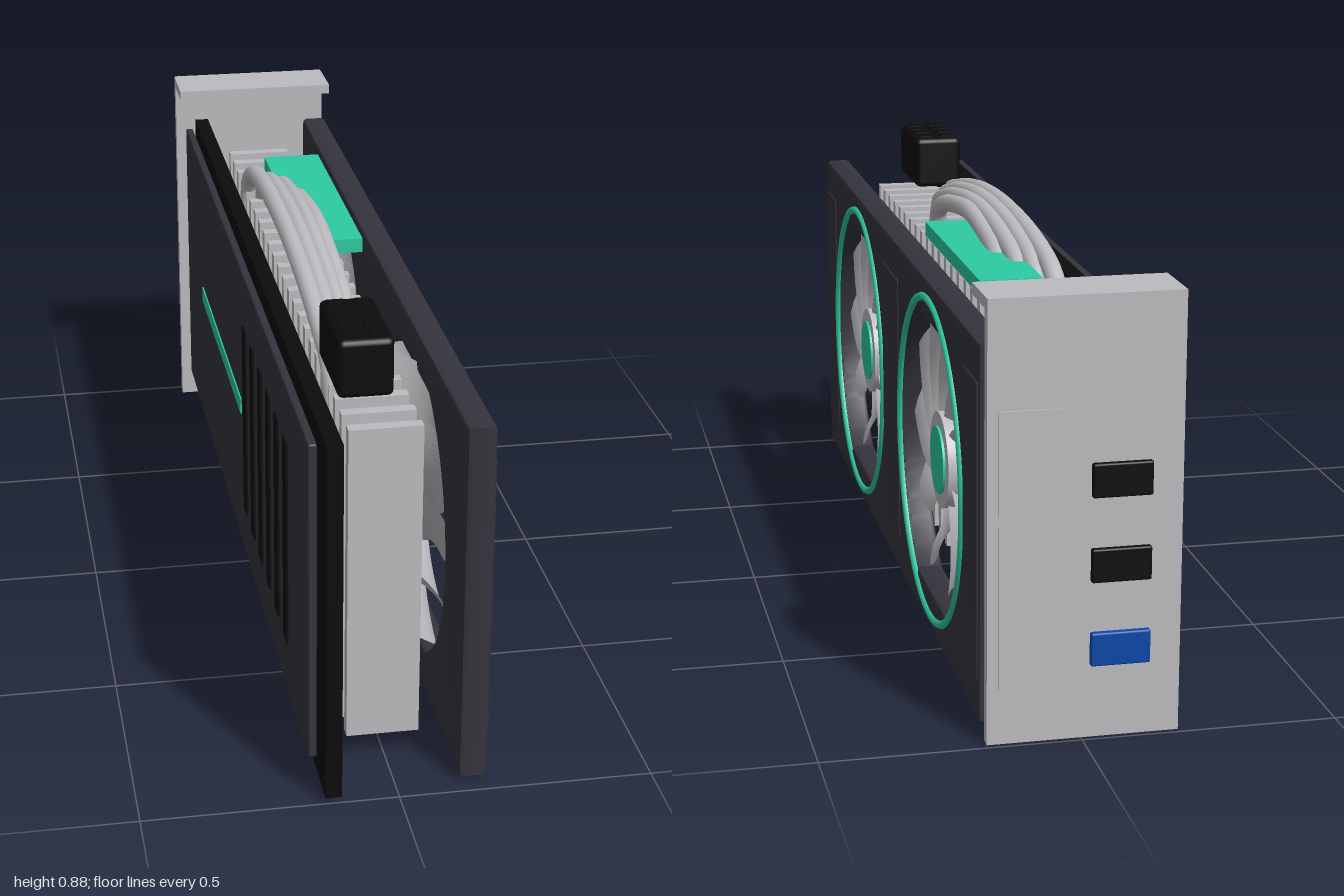
import * as THREE from 'three';
import { toCreasedNormals } from 'three/addons/utils/BufferGeometryUtils.js';
import { RoundedBoxGeometry } from 'three/addons/geometries/RoundedBoxGeometry.js';

const mat = (name, color, side = THREE.FrontSide) => {
  const m = new THREE.MeshStandardMaterial({ color, side });
  m.name = name;
  return m;
};

export function createModel() {
  const root = new THREE.Group();
  root.name = 'graphicsCard';
  const metal = mat('lightMetal', 0xbcbcc0, THREE.DoubleSide);
  const dark = mat('darkShroud', 0x35343d);
  const black = mat('black', 0x0c0c0d);
  const teal = mat('teal', 0x2dcaa3);
  const blue = mat('blue', 0x0a47a8);

  const add = (name, geo, material, parent = root) => {
    const m = new THREE.Mesh(geo, material);
    m.name = name;
    parent.add(m);
    return m;
  };
  // box given by its extents on each axis
  const box = (name, material, [x0, x1], [y0, y1], [z0, z1], round = 0) => {
    const s = [x1 - x0, y1 - y0, z1 - z0];
    const geo = round ? new RoundedBoxGeometry(...s, 2, round) : new THREE.BoxGeometry(...s);
    const m = add(name, geo, material);
    m.position.set((x0 + x1) / 2, (y0 + y1) / 2, (z0 + z1) / 2);
    return m;
  };

  const fanY = 0.383;
  const fanZ = [0.473, -0.42];

  // Shroud: bevelled slab with two openings, flattened at top and bottom
  const outline = new THREE.Shape();
  outline.moveTo(-0.968, 0.012);
  outline.lineTo(0.909, 0.012);
  outline.lineTo(0.909, 0.755);
  outline.lineTo(-0.968, 0.755);
  outline.closePath();
  const cut = Math.asin(0.287 / 0.325);
  for (const z of fanZ) {
    const hole = new THREE.Path();
    hole.absarc(-z, fanY, 0.325, -cut, cut, false);
    hole.absarc(-z, fanY, 0.325, Math.PI - cut, Math.PI + cut, false);
    hole.closePath();
    outline.holes.push(hole);
  }
  const bevel = 0.01;
  const shroud = new THREE.ExtrudeGeometry(outline, {
    depth: 0.057 - 2 * bevel, bevelEnabled: true, bevelSize: bevel, bevelThickness: bevel,
    bevelOffset: -bevel, bevelSegments: 2, curveSegments: 28,
  });
  shroud.translate(0, 0, 0.123 + bevel);
  shroud.rotateY(Math.PI / 2);
  add('shroud', toCreasedNormals(shroud, 0.5), dark);

  // Shallow trim panels on the shroud face
  for (const z of [[0.825, 0.955], [-0.065, 0.125], [-0.9, -0.77]]) {
    box('shroudPanel', dark, [0.176, 0.183], [0.092, 0.68], z, 0.003);
  }

  // Fan blade: swept, pitched sheet; x grows counter-clockwise as seen from +x
  const bladeGeometry = () => {
    const nr = 8, nu = 5;
    const geo = new THREE.PlaneGeometry(1, 1, nu, nr);
    const p = geo.attributes.position;
    for (let i = 0; i < p.count; i++) {
      const u = p.getX(i), t = p.getY(i) + 0.5;
      const r = 0.085 + 0.229 * t;
      const a = -0.55 * Math.pow(t, 1.3) + u * (0.5 - 0.06 * t);
      const x = 0.118 + u * 0.07 + 0.012 * (1 - 4 * u * u);
      p.setXYZ(i, x, r * Math.sin(a), -r * Math.cos(a));
    }
    geo.computeVertexNormals();
    return geo;
  };
  const blade = bladeGeometry();
  const disc = (r, depth) => new THREE.CylinderGeometry(r, r, depth, 40).rotateZ(-Math.PI / 2);

  for (const z of fanZ) {
    const fan = new THREE.Group();
    fan.name = 'fan';
    fan.position.set(0, fanY, z);
    root.add(fan);
    add('fanHub', disc(0.1, 0.075), metal, fan).position.x = 0.1225;
    add('fanCap', disc(0.07, 0.006), teal, fan).position.x = 0.162;
    for (let i = 0; i < 11; i++) {
      add('fanBlade', blade, metal, fan).rotation.x = (i * Math.PI * 2) / 11;
    }
    const ring = new THREE.TorusGeometry(0.337, 0.009, 8, 72).rotateY(Math.PI / 2);
    add('fanRing', ring, teal, fan).position.x = 0.179;
  }

  // Cooling fins
  for (let i = 0; i < 24; i++) {
    const z = -0.796 + i * 0.07105;
    box('coolingFin', metal, [-0.077, 0.067], [0.052, 0.713], [z - 0.013, z + 0.013]);
  }

  // Heat pipes arching over the fins: x, front z, back z, peak height
  for (const [x, zf, zb, top] of [
    [-0.068, 0.62, -0.52, 0.822], [-0.042, 0.56, -0.46, 0.82],
    [-0.016, 0.49, -0.42, 0.816], [0.007, 0.38, -0.32, 0.81],
  ]) {
    const at = (f, y) => new THREE.Vector3(x, y, zf + (zb - zf) * f);
    const path = new THREE.CatmullRomCurve3([
      at(0, 0.66), at(0.015, 0.735), at(0.1, 0.765), at(0.3, top - 0.017), at(0.55, top),
      at(0.8, top - 0.015), at(0.95, 0.77), at(1, 0.72), at(1, 0.65),
    ]);
    add('heatPipe', new THREE.TubeGeometry(path, 48, 0.02, 12), metal);
  }

  // Teal top plate
  box('topPlate', teal, [-0.028, 0.1], [0.753, 0.784], [-0.54, 0.04]);

  // Power connector with sockets on top
  box('powerConnector', black, [-0.088, 0.02], [0.753, 0.87], [0.58, 0.8], 0.012);
  for (const x of [-0.06, -0.008]) {
    for (let i = 0; i < 4; i++) {
      const z = 0.615 + i * 0.05;
      box('powerSocket', black, [x - 0.016, x + 0.016], [0.865, 0.875], [z - 0.016, z + 0.016]);
    }
  }

  // Circuit board and its edge contacts
  box('circuitBoard', black, [-0.144, -0.112], [0.012, 0.755], [-0.947, 1]);
  for (const z of [[-0.62, 0.69], [-0.86, -0.68]]) {
    box('edgeContacts', metal, [-0.146, -0.11], [0.02, 0.092], z);
  }

  // Backplate with vents and an accent stripe
  box('backplate', dark, [-0.172, -0.155], [0.085, 0.745], [-0.909, 0.966], 0.004);
  for (let i = 0; i < 6; i++) {
    const z = 0.14 + i * 0.113;
    box('backplateVent', black, [-0.176, -0.17], [0.197, 0.632], [z - 0.022, z + 0.022]);
  }
  box('backplateStripe', teal, [-0.175, -0.17], [0.405, 0.44], [-0.6, 0.075]);

  // Mounting bracket with folded lip, vent panel and ports
  box('bracket', metal, [-0.19, 0.181], [0, 0.858], [-0.988, -0.963]);
  box('bracketLip', metal, [-0.19, 0.181], [0.836, 0.858], [-0.965, -0.853]);
  box('bracketPanel', metal, [0.045, 0.16], [0.11, 0.648], [-0.992, -0.986]);
  for (const [y, m] of [[0.508, black], [0.343, black], [0.178, blue]]) {
    box('port', m, [-0.13, -0.015], [y - 0.033, y + 0.033], [-1, -0.985], 0.004);
  }
  return root;
}
